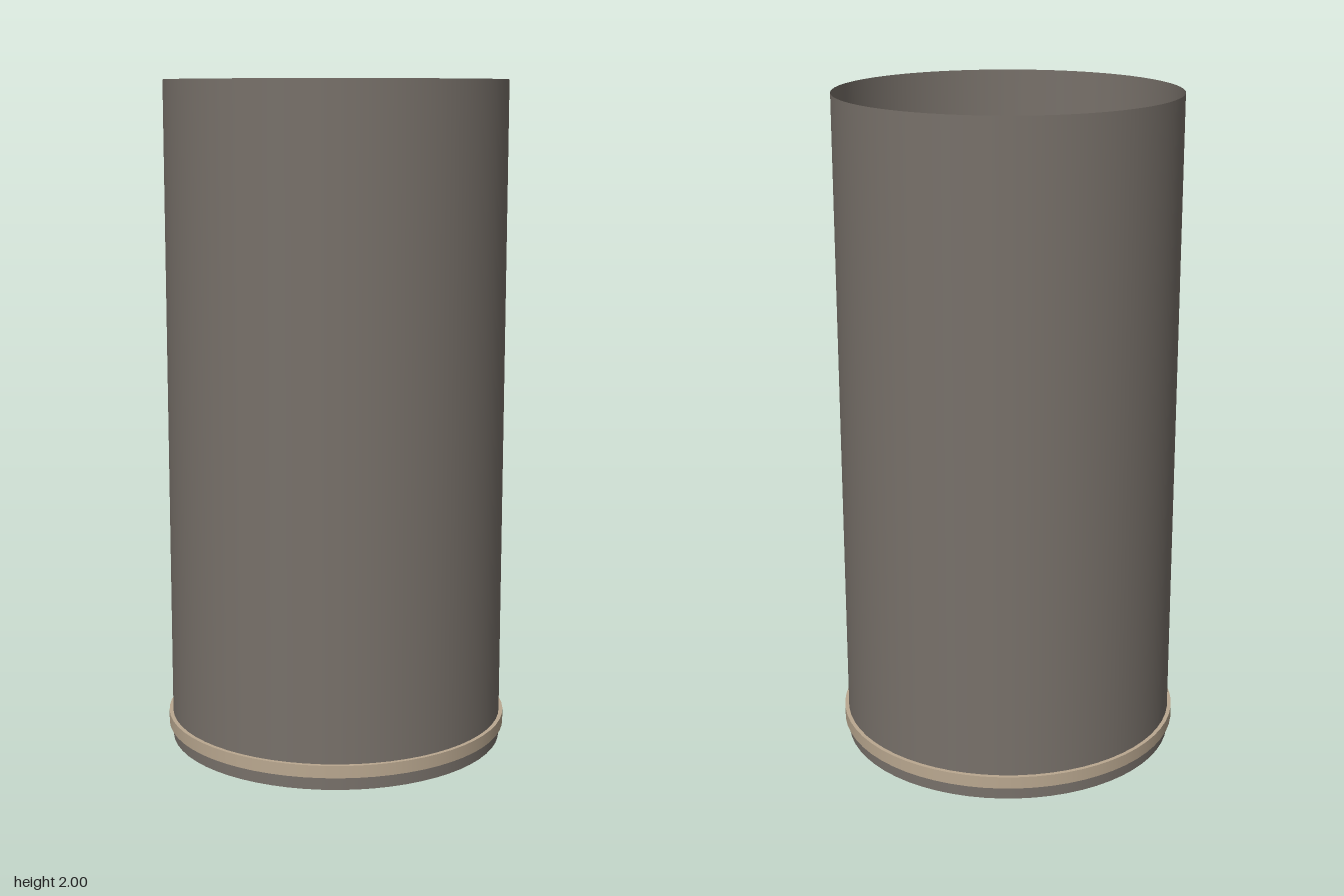
import * as THREE from 'three';

export function createModel() {
  const model = new THREE.Group();
  model.name = 'spiralStairTower';

  const material = (name, color, side = THREE.FrontSide) => {
    const m = new THREE.MeshStandardMaterial({ color, side });
    m.name = name;
    return m;
  };
  const wallGrey = material('wallGrey', 0x78716a, THREE.DoubleSide);
  const floorBeige = material('floorBeige', 0xbaa890);
  const treadWood = material('treadWood', 0xa9845c);
  const railWood = material('railWood', 0x7a5638);

  const add = (parent, name, geometry, mat, x = 0, y = 0, z = 0) => {
    const mesh = new THREE.Mesh(geometry, mat);
    mesh.name = name;
    mesh.position.set(x, y, z);
    parent.add(mesh);
    return mesh;
  };

  // Open round wall and the floor slab that rims it
  add(model, 'wall', new THREE.CylinderGeometry(0.508, 0.508, 2, 64, 1, true), wallGrey, 0, 1, 0);
  add(model, 'floor', new THREE.CylinderGeometry(0.52, 0.52, 0.037, 64), floorBeige, 0, 0.0585, 0);

  // Stair layout, listed from the top step down
  const steps = 22, turn = 16, topAngle = 32, topY = 1.69, rise = 0.0733;
  const inner = 0.107, outer = 0.486, thick = 0.04, railRadius = 0.133;
  const railY = (angle) => 1.912 - (rise / turn) * (angle - 14);

  const treadGeometry = new THREE.BoxGeometry(outer - inner, thick, 0.13);
  const stairs = new THREE.Group();
  stairs.name = 'stairs';
  model.add(stairs);
  for (let i = 0; i < steps; i++) {
    const angle = topAngle + turn * i;
    const y = topY - rise * i;
    const step = new THREE.Group();
    step.name = 'step';
    step.rotation.y = -THREE.MathUtils.degToRad(angle);
    stairs.add(step);
    add(step, 'tread', treadGeometry, treadWood, (inner + outer) / 2, y - thick / 2, 0);
    // Baluster from the tread up to the handrail
    const height = railY(angle) - y;
    add(step, 'baluster', new THREE.CylinderGeometry(0.004, 0.004, height, 8), railWood,
      railRadius, y + height / 2, 0);
  }

  // Helical handrail around the open well
  const points = [];
  for (let angle = 14; angle <= 374; angle += 7.5) {
    const a = THREE.MathUtils.degToRad(angle);
    points.push(new THREE.Vector3(railRadius * Math.cos(a), railY(angle), railRadius * Math.sin(a)));
  }
  add(model, 'handrail', new THREE.TubeGeometry(new THREE.CatmullRomCurve3(points), 120, 0.006, 8), railWood);

  return model;
}
